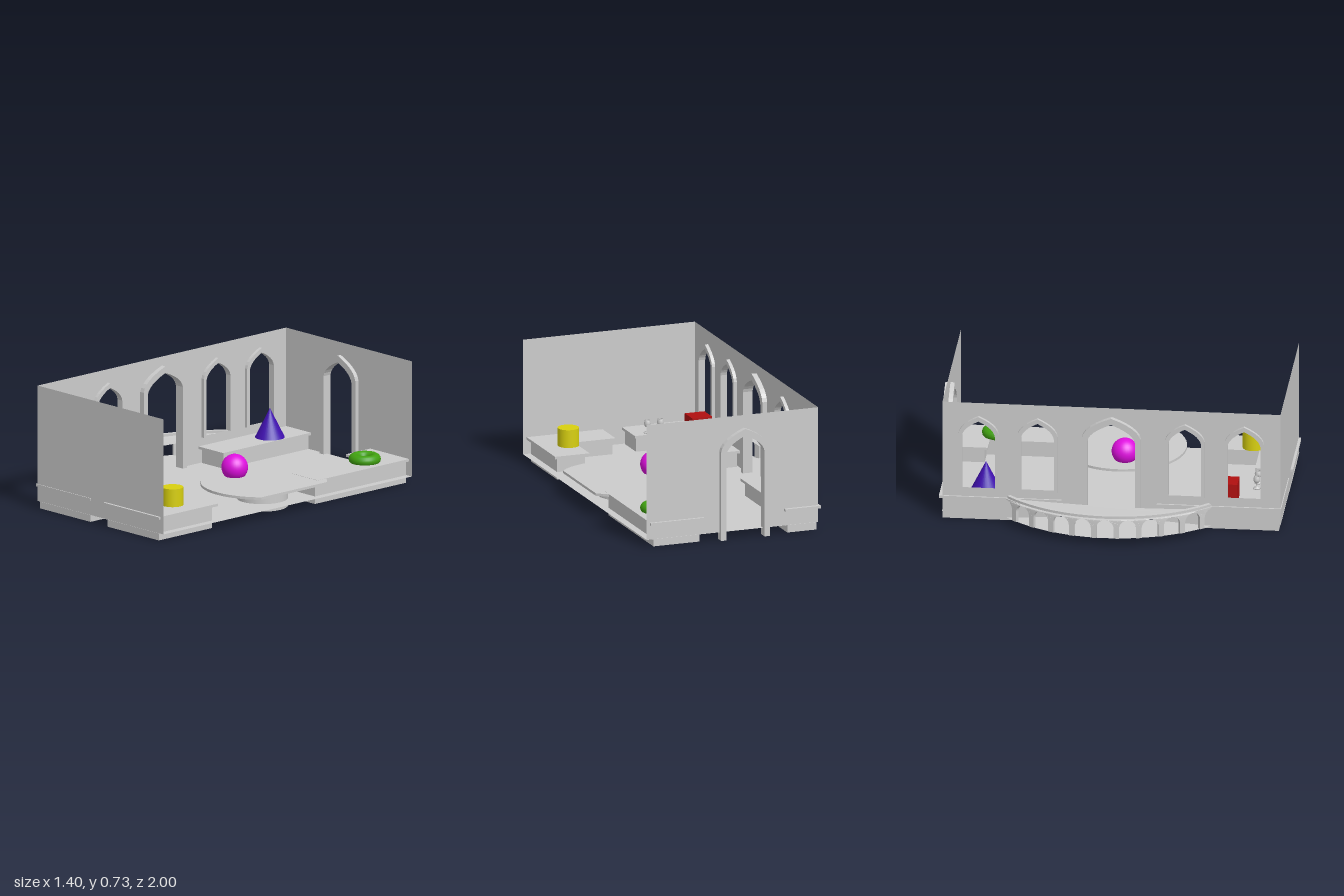
import * as THREE from 'three';
import { mergeGeometries } from 'three/addons/utils/BufferGeometryUtils.js';

const V = (x, y) => new THREE.Vector2(x, y);
const grey = new THREE.MeshStandardMaterial({ color: 0xcccccc, side: THREE.DoubleSide });
const FLOOR = 0.045, WALL_TOP = 0.73, SLAB = 0.13, TOP = 0.145;

export function createModel() {
  const root = new THREE.Group();

  function add(name, geometry, material = grey, pos = [0, 0, 0], parent = root) {
    const mesh = new THREE.Mesh(geometry, material);
    mesh.name = name;
    mesh.position.set(...pos);
    parent.add(mesh);
    return mesh;
  }

  // Pointed arch outline, from the left foot over the peak to the right foot
  function archPoints(c, half, y0, spring, peak) {
    const p = new THREE.Path();
    const k = spring + (peak - spring) * 0.55;
    p.moveTo(c - half, y0);
    p.lineTo(c - half, spring);
    p.quadraticCurveTo(c - half * 0.93, k, c, peak);
    p.quadraticCurveTo(c + half * 0.93, k, c + half, spring);
    p.lineTo(c + half, y0);
    return p.getPoints(6);
  }

  // Thin wall with one door notch and any number of window holes
  function wall(u0, u1, door, windows = []) {
    const shape = new THREE.Shape([V(u0, FLOOR), ...door, V(u1, FLOOR), V(u1, WALL_TOP), V(u0, WALL_TOP)]);
    windows.forEach(w => shape.holes.push(new THREE.Path(w)));
    return new THREE.ShapeGeometry(shape);
  }

  // Arched band standing around an opening
  function archFrame(outer, inner, depth) {
    const g = new THREE.ExtrudeGeometry(new THREE.Shape([...outer, ...[...inner].reverse()]),
      { depth, bevelEnabled: false });
    return g.translate(0, 0, -depth / 2);
  }

  // Horizontal plate from an outline of [x, z] corners
  function plate(points, y0, y1) {
    const shape = new THREE.Shape(points.map(([x, z]) => V(x, -z)));
    const g = new THREE.ExtrudeGeometry(shape, { depth: y1 - y0, bevelEnabled: false });
    return g.rotateX(-Math.PI / 2).translate(0, y0, 0);
  }

  // Upright panels around an outline of [x, z] corners, open above and below
  function skirt(points, y0, y1) {
    return mergeGeometries(points.map(([x, z], i) => {
      const [x2, z2] = points[(i + 1) % points.length];
      const g = new THREE.PlaneGeometry(Math.hypot(x2 - x, z2 - z), y1 - y0);
      return g.rotateY(-Math.atan2(z2 - z, x2 - x)).translate((x + x2) / 2, (y0 + y1) / 2, (z + z2) / 2);
    }));
  }

  // Room floor
  add('floor', new THREE.PlaneGeometry(1.06, 1.96).rotateX(-Math.PI / 2), grey, [0.13, FLOOR, 0.007]);

  // Side wall with a balcony door and four windows
  const side = new THREE.Group();
  side.name = 'sideWall';
  side.position.x = -0.4;
  side.rotation.y = -Math.PI / 2;
  root.add(side);
  const centres = [-0.76, -0.419, 0.433, 0.776];
  const windowHoles = centres.map(c => archPoints(c, 0.095, 0.2, 0.53, 0.622));
  add('sideWallPanel', wall(-0.97, 0.985, archPoints(0.008, 0.138, FLOOR, 0.53, 0.638), windowHoles), grey, [0, 0, 0], side);
  centres.forEach((c, i) =>
    add('windowFrame', archFrame(archPoints(c, 0.115, 0.195, 0.545, 0.65), windowHoles[i], 0.04), grey, [0, 0, 0], side));
  add('balconyDoorFrame', archFrame(archPoints(0.008, 0.17, 0, 0.55, 0.677),
    archPoints(0.008, 0.138, 0, 0.53, 0.638), 0.06), grey, [0, 0, 0], side);

  // Back wall with entrance, and plain front wall
  add('backWall', wall(-0.4, 0.66, archPoints(0.06, 0.118, FLOOR, 0.51, 0.615)), grey, [0, 0, -0.97]);
  add('entranceFrame', archFrame(archPoints(0.06, 0.15, 0, 0.53, 0.655),
    archPoints(0.06, 0.118, 0, 0.51, 0.615), 0.055), grey, [0, 0, -0.9725]);
  add('frontWall', new THREE.PlaneGeometry(1.06, WALL_TOP - FLOOR), grey, [0.13, (WALL_TOP + FLOOR) / 2, 0.985]);

  // Counters: overhanging top on a hollow base
  const counters = [
    { // back left
      top: [[-0.41, -0.99], [-0.19, -0.99], [-0.19, -0.28], [-0.41, -0.28]],
      base: [[-0.39, -0.97], [-0.21, -0.97], [-0.21, -0.3], [-0.39, -0.3]],
    },
    { // front left, L-shaped
      top: [[-0.41, 0.27], [-0.2, 0.27], [-0.2, 0.78], [0.05, 0.78], [0.05, 0.99], [-0.41, 0.99]],
      base: [[-0.39, 0.29], [-0.22, 0.29], [-0.22, 0.8], [0.035, 0.8], [0.035, 0.975], [-0.39, 0.975]],
    },
    { // front right, L-shaped
      top: [[0.17, 0.78], [0.425, 0.78], [0.425, 0.535], [0.638, 0.535], [0.638, 1], [0.17, 1]],
      base: [[0.18, 0.8], [0.445, 0.8], [0.445, 0.56], [0.615, 0.56], [0.615, 0.978], [0.18, 0.978]],
    },
    { // back right, L-shaped, running into the round table
      top: [[0.31, -0.985], [0.638, -0.985], [0.638, -0.25], [0.425, -0.25], [0.425, -0.78], [0.31, -0.78]],
      base: [[0.33, -0.965], [0.615, -0.965], [0.615, -0.25], [0.445, -0.25], [0.445, -0.8], [0.33, -0.8]],
    },
  ];
  for (const { top, base } of counters) {
    add('counterTop', plate(top, SLAB, TOP));
    add('counterBase', skirt(base, 0, SLAB));
  }

  // Round table, cut straight on the open side, on a hollow drum
  const disc = [];
  for (let i = 0; i < 48; i++) {
    const a = i / 48 * Math.PI * 2;
    disc.push([Math.min(0.7, 0.443 + 0.366 * Math.cos(a)), -0.008 + 0.366 * Math.sin(a)]);
  }
  add('roundTableTop', plate(disc, SLAB - 0.001, TOP - 0.001));
  add('roundTableBase', new THREE.CylinderGeometry(0.148, 0.148, SLAB, 32, 1, true), grey, [0.43, SLAB / 2, -0.008]);

  // Balcony: bowed floor, arcaded railing and handrail
  const R = 0.85, CX = 0.145, HALF = 0.773;
  const arc = (r, n = 32) => Array.from({ length: n + 1 }, (_, i) => {
    const a = -HALF + 2 * HALF * i / n;
    return [CX - r * Math.cos(a), r * Math.sin(a)];
  });
  const deck = [...arc(R - 0.005), [-0.4, 0.18], [-0.4, -0.18]];
  const deckShape = new THREE.Shape(deck.map(([x, z]) => V(x, -z)));
  add('balconyFloor', new THREE.ShapeGeometry(deckShape).rotateX(-Math.PI / 2), grey, [0, FLOOR, 0]);

  const pitch = 2 * HALF * R / 10, column = 0.016, open = pitch / 2 - column;
  const end = 5 * pitch, spring = 0.108;
  const rail = new THREE.Shape();
  rail.moveTo(-end, 0.165);
  rail.lineTo(-end, spring + open);
  rail.absellipse(-end, spring, open, open, Math.PI / 2, 0, true);
  for (let i = 0; i < 10; i++) {
    const c = -end + (i + 0.5) * pitch;
    rail.lineTo(c - column, FLOOR);
    rail.lineTo(c + column, FLOOR);
    rail.lineTo(c + column, spring);
    if (i < 9) rail.absellipse(c + pitch / 2, spring, open, open, Math.PI, 0, true);
    else rail.absellipse(end, spring, open, open, Math.PI, Math.PI / 2, true);
  }
  for (let i = 40; i > 0; i--) rail.lineTo(-end + 2 * end * i / 40, 0.165);
  const railing = new THREE.ExtrudeGeometry(rail, { depth: 0.022, bevelEnabled: false, curveSegments: 10 });
  const p = railing.attributes.position;
  for (let i = 0; i < p.count; i++) { // bend the flat arcade along the bow
    const a = p.getX(i) / R, r = R - p.getZ(i);
    p.setXYZ(i, CX - r * Math.cos(a), p.getY(i), r * Math.sin(a));
  }
  railing.computeVertexNormals();
  add('balconyArcade', railing);
  add('balconyHandrail', plate([...arc(R - 0.008), ...arc(R - 0.03).reverse()], 0.165, 0.18));

  // Coloured solids on the counters and table
  const paint = color => new THREE.MeshStandardMaterial({ color });
  add('sphere', new THREE.SphereGeometry(0.077, 32, 20), paint(0xe010e0), [0.23, 0.195, 0.022]);
  add('box', new THREE.BoxGeometry(0.122, 0.12, 0.122), paint(0xb01010), [-0.3, 0.205, 0.67]);
  add('cylinder', new THREE.CylinderGeometry(0.062, 0.062, 0.106, 32), paint(0xd8d010), [0.476, 0.198, 0.74]);
  add('cone', new THREE.ConeGeometry(0.086, 0.172, 32), paint(0x4010b0), [-0.28, 0.231, -0.73]);
  add('ring', new THREE.TorusGeometry(0.062, 0.031, 16, 40).rotateX(Math.PI / 2), paint(0x40a010), [0.51, 0.163, -0.74]);

  // Two small goblets
  const goblet = new THREE.LatheGeometry([V(0, 0), V(0.022, 0), V(0.02, 0.005), V(0.005, 0.012), V(0.004, 0.032),
    V(0.016, 0.042), V(0.02, 0.056), V(0.015, 0.076), V(0.012, 0.076), V(0.016, 0.056), V(0, 0.042)], 16);
  for (const x of [-0.123, -0.043]) add('goblet', goblet, grey, [x, TOP, 0.82]);

  return root;
}
